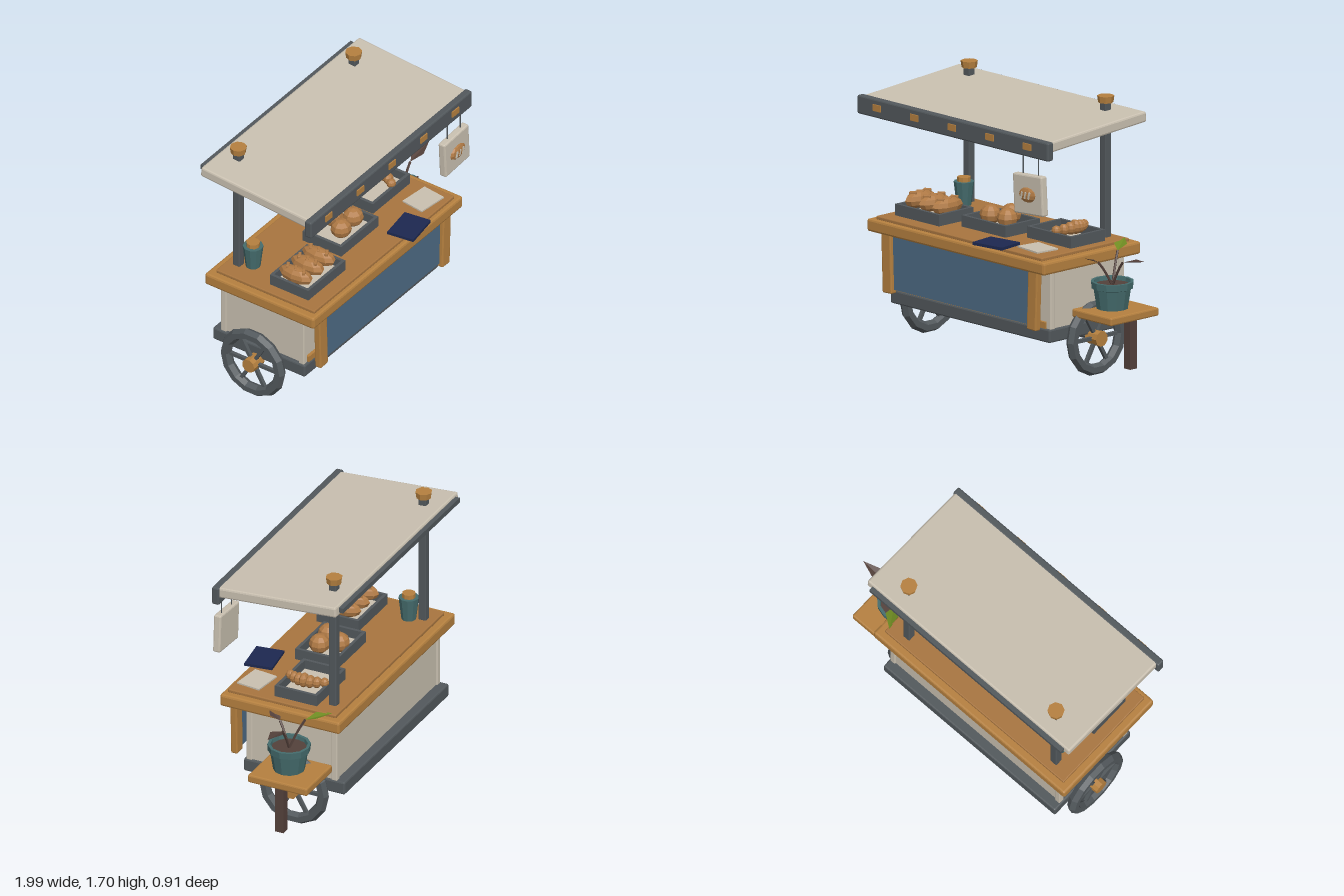
import * as THREE from 'three';
import { RoundedBoxGeometry } from 'three/addons/geometries/RoundedBoxGeometry.js';

const mat = (name, color, extra = {}) => {
  const m = new THREE.MeshStandardMaterial({ color, ...extra });
  m.name = name;
  return m;
};

export function createModel() {
  const cart = new THREE.Group();
  cart.name = 'marketCart';
  const wood = mat('wood', 0xb5803f);
  const topWood = mat('counterWood', 0xa8753f);
  const cream = mat('cream', 0xc9c0b0);
  const iron = mat('darkIron', 0x52585c);
  const blue = mat('blueCloth', 0x4d6a84);
  const teal = mat('tealGlaze', 0x456c6d);
  const bark = mat('darkBrown', 0x54413b, { side: THREE.DoubleSide });
  const bread = mat('bread', 0xb07a45);
  const navy = mat('navy', 0x1d2850);
  const green = mat('leafGreen', 0x6f8c22, { side: THREE.DoubleSide });

  // Faceted mesh at a position
  function add(name, geo, material, x, y, z, parent = cart) {
    const g = geo.index ? geo.toNonIndexed() : geo;
    g.computeVertexNormals();
    const mesh = new THREE.Mesh(g, material);
    mesh.name = name;
    mesh.position.set(x, y, z);
    parent.add(mesh);
    return mesh;
  }
  // Box given by its extents, with chamfered edges when bevel > 0
  function box(name, material, [x0, x1], [y0, y1], [z0, z1], bevel = 0, parent = cart) {
    const s = [x1 - x0, y1 - y0, z1 - z0];
    const geo = bevel ? new RoundedBoxGeometry(...s, 1, bevel) : new THREE.BoxGeometry(...s);
    return add(name, geo, material, (x0 + x1) / 2, (y0 + y1) / 2, (z0 + z1) / 2, parent);
  }
  function group(name, x, y, z) {
    const g = new THREE.Group();
    g.name = name;
    g.position.set(x, y, z);
    cart.add(g);
    return g;
  }
  const blob = (name, x, y, z, sx, sy, sz, parent = cart) => {
    const geo = new THREE.SphereGeometry(1, 9, 6);
    geo.scale(sx, sy, sz);
    return add(name, geo, bread, x, y, z, parent);
  };

  // Chassis and body
  box('chassis', iron, [-0.86, 0.55], [0.265, 0.35], [-0.416, 0.276], 0.01);
  box('body', cream, [-0.835, 0.535], [0.34, 0.735], [-0.352, 0.252]);
  for (const x of [-0.83, 0.525])
    for (const z of [-0.342, 0.242])
      box('cornerPost', cream, [x - 0.02, x + 0.02], [0.345, 0.735], [z - 0.02, z + 0.02], 0.006);
  box('frontRail', wood, [-0.81, 0.51], [0.35, 0.39], [0.25, 0.272]);

  // Counter with a raised top board
  box('counter', wood, [-0.94, 0.63], [0.725, 0.805], [-0.42, 0.40], 0.014);
  box('counterTop', topWood, [-0.89, 0.58], [0.8, 0.825], [-0.37, 0.37], 0.006);

  // Front cloth panel between two slightly slanted legs
  box('frontPanel', blue, [-0.77, 0.47], [0.38, 0.73], [0.335, 0.35]);
  for (const s of [-1, 1]) {
    const leg = box('frontLeg', wood, [-0.04, 0.04], [0.355, 0.735], [0.33, 0.375], 0.008);
    leg.position.x = -0.15 + s * 0.645;
    leg.rotation.z = -s * 0.035;
  }

  // Wheels, hubs, spokes and axle
  for (const x of [-0.895, 0.582]) {
    const wheel = group('wheel', x, 0.248, -0.086);
    add('tyre', new THREE.TorusGeometry(0.202, 0.037, 6, 14), iron, 0, 0, 0, wheel).rotation.y = Math.PI / 2;
    const hub = new THREE.CylinderGeometry(0.046, 0.05, 0.104, 9);
    hub.rotateZ(Math.PI / 2);
    add('hub', hub, wood, 0, 0, 0, wheel);
    for (let i = 0; i < 6; i++) {
      const spoke = new THREE.BoxGeometry(0.022, 0.17, 0.022);
      spoke.translate(0, 0.1, 0);
      add('spoke', spoke, iron, 0, 0, 0, wheel).rotation.x = (i + 0.5) * Math.PI / 3;
    }
  }
  const axle = new THREE.CylinderGeometry(0.02, 0.02, 1.44, 8);
  axle.rotateZ(Math.PI / 2);
  add('axle', axle, iron, -0.156, 0.245, -0.086);

  // Roof posts with wooden caps
  for (const x of [-0.76, 0.45]) {
    box('roofPost', iron, [x - 0.025, x + 0.025], [0.82, 1.68], [-0.32, -0.268], 0.006);
    add('postCap', new THREE.CylinderGeometry(0.053, 0.047, 0.042, 8), wood, x, 1.692, -0.294);
  }

  // Sloping roof with front fascia and back bar
  const roof = add('roof', new RoundedBoxGeometry(1.66, 0.068, 0.82, 1, 0.012), cream, -0.15, 1.57, -0.012);
  roof.rotation.x = 0.072;
  box('roofBackBar', iron, [-0.94, 0.635], [1.585, 1.617], [-0.45, -0.40]);
  box('fascia', iron, [-1, 0.69], [1.46, 1.578], [0.375, 0.425], 0.01);
  for (let i = 0; i < 5; i++) {
    const x = -0.82 + i * 0.3325;
    box('fasciaTag', wood, [x - 0.035, x + 0.035], [1.505, 1.546], [0.42, 0.433]);
  }

  // Hanging sign with a loaf relief
  const sign = group('sign', 0.522, 1.225, 0.41);
  sign.rotation.z = 0.06;
  box('signBoard', cream, [-0.128, 0.128], [-0.125, 0.125], [-0.025, 0.025], 0.01, sign);
  blob('signLoaf', 0, 0, 0.025, 0.075, 0.047, 0.022, sign);
  for (const i of [-1, 0, 1])
    box('loafCut', cream, [i * 0.032 - 0.006, i * 0.032 + 0.006], [-0.022, 0.022], [0.04, 0.048], 0, sign).rotation.z = -0.3;
  for (const x of [0.455, 0.59])
    box('signCord', iron, [x - 0.003, x + 0.003], [1.34, 1.47], [0.404, 0.41]);

  // Trays, each set a little further back
  [[-0.625, 0.13], [-0.14, 0.03], [0.333, -0.07]].forEach(([x, z]) => {
    const tray = group('tray', x, 0.825, z);
    box('trayFloor', cream, [-0.18, 0.18], [0, 0.014], [-0.13, 0.13], 0, tray);
    for (const s of [-1, 1]) {
      box('traySide', iron, [s * 0.185 - 0.01, s * 0.185 + 0.01], [0, 0.072], [-0.145, 0.145], 0, tray);
      box('trayEnd', iron, [-0.18, 0.18], [0, 0.072], [s * 0.135 - 0.01, s * 0.135 + 0.01], 0, tray);
    }
  });

  // Long loaves with raised crust, round buns, and a segmented pastry
  for (const x of [-0.748, -0.625, -0.508]) {
    blob('loaf', x, 0.918, 0.13, 0.055, 0.055, 0.122);
    for (const z of [0.07, 0.13, 0.19])
      box('loafCrust', bread, [x - 0.024, x + 0.024], [0.95, 0.973], [z - 0.01, z + 0.01], 0.004).rotation.y = 0.5;
  }
  for (const [x, z] of [[-0.19, 0.07], [-0.05, 0.06], [-0.12, -0.04]])
    blob('bun', x, 0.912, z, 0.068, 0.062, 0.066);
  for (let i = -3; i <= 3; i++) {
    const r = 0.046 - Math.abs(i) * 0.005;
    blob('pastrySegment', 0.415 - i * i * 0.005, 0.918 - Math.abs(i) * 0.004, -0.07 + i * 0.039, r, r, 0.029);
  }

  // Booklet and paper sheet on the counter
  box('booklet', navy, [0.03, 0.26], [0.825, 0.843], [0.25, 0.43]).rotation.y = 0.14;
  box('paper', cream, [0.32, 0.52], [0.836, 0.846], [0.17, 0.33]).rotation.y = -0.12;

  // Jar with wooden lid
  add('jar', new THREE.CylinderGeometry(0.064, 0.046, 0.15, 10), teal, -0.72, 0.9, -0.212);
  add('jarLid', new THREE.CylinderGeometry(0.042, 0.042, 0.03, 9), wood, -0.72, 0.988, -0.212);

  // Side shelf on a single leg
  box('sideShelf', wood, [0.54, 0.887], [0.398, 0.45], [-0.328, 0.078], 0.01);
  box('shelfLeg', bark, [0.815, 0.868], [0.092, 0.41], [-0.158, -0.102]);

  // Plant pot with soil
  const potProfile = [[0, 0], [0.098, 0], [0.118, 0.125], [0.131, 0.13], [0.134, 0.172], [0.115, 0.172], [0.11, 0.14]]
    .map(([r, y]) => new THREE.Vector2(r, y));
  add('plantPot', new THREE.LatheGeometry(potProfile, 12), teal, 0.7, 0.452, -0.112);
  add('soil', new THREE.CylinderGeometry(0.113, 0.113, 0.01, 12), bark, 0.7, 0.594, -0.112);

  // Stems, each carrying a folded diamond leaf
  const leaves = [
    [[0.79, 0.752, -0.112], [0.99, 0.792, -0.112], bark],
    [[0.655, 0.79, -0.2], [0.565, 0.83, -0.345], green],
    [[0.66, 0.745, -0.03], [0.605, 0.785, 0.075], bark],
  ];
  for (const [from, to, material] of leaves) {
    const a = new THREE.Vector3(...from), b = new THREE.Vector3(...to);
    const root = new THREE.Vector3(0.7, 0.59, -0.112);
    const mid = root.clone().lerp(a, 0.5).add(new THREE.Vector3(0, 0.025, 0));
    const stem = new THREE.TubeGeometry(new THREE.QuadraticBezierCurve3(root, mid, a), 4, 0.008, 5);
    add('stem', stem, bark, 0, 0, 0);
    const side = new THREE.Vector3().subVectors(b, a).cross(new THREE.Vector3(0, 1, 0)).setLength(0.042);
    const centre = a.clone().lerp(b, 0.4);
    const l = centre.clone().sub(side), r = centre.clone().add(side);
    l.y += 0.012;
    r.y += 0.012;
    const geo = new THREE.BufferGeometry().setFromPoints([a, b, l, a, r, b]);
    add('leaf', geo, material, 0, 0, 0);
  }
  return cart;
}
